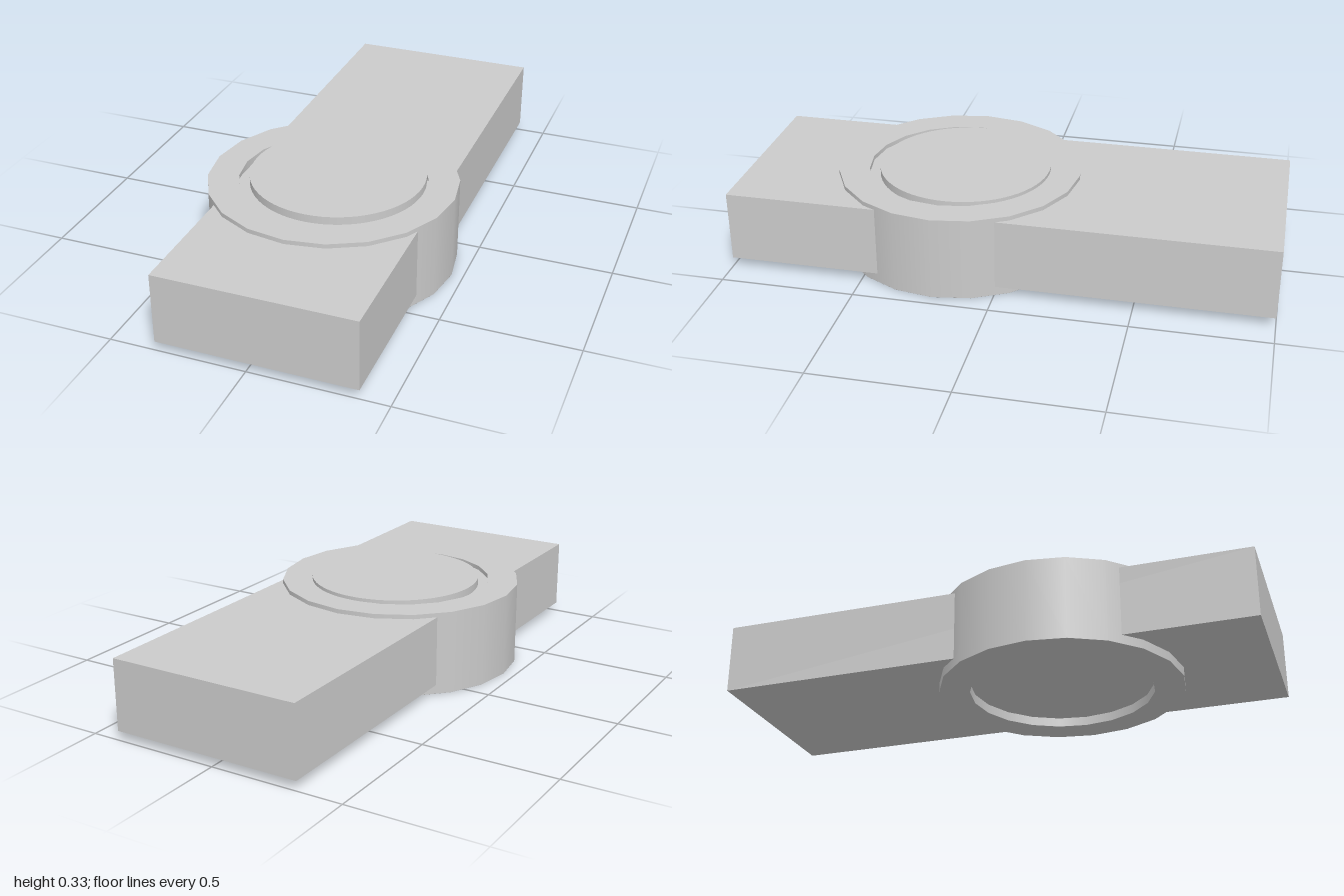
import * as THREE from 'three';

const material = new THREE.MeshStandardMaterial({ color: 0xcccccc });

function part(name, geometry, x, y, z) {
  const mesh = new THREE.Mesh(geometry, material);
  mesh.name = name;
  mesh.position.set(x, y, z);
  return mesh;
}

// Square-edged tube, smooth around its walls, centred on y = 0
function ringGeometry(inner, outer, height, sides) {
  const h = height / 2;
  const corners = [[inner, -h], [outer, -h], [outer, h], [inner, h], [inner, -h]];
  // each corner is doubled by a close neighbour so the rims stay sharp
  const points = [];
  for (let i = 0; i < 4; i++) {
    const a = new THREE.Vector2(...corners[i]);
    const b = new THREE.Vector2(...corners[i + 1]);
    points.push(a.clone().lerp(b, 0.002), a.clone().lerp(b, 0.998));
  }
  points.push(points[0].clone());
  return new THREE.LatheGeometry(points, sides);
}

export function createModel() {
  const model = new THREE.Group();
  model.name = 'bandWithRoundCase';

  // Long flat bar running front to back
  model.add(part('band', new THREE.BoxGeometry(0.725, 0.263, 2), 0.032, 0.166, 0));

  // Twenty-sided collar around the bar
  model.add(part('collar', ringGeometry(0.343, 0.457, 0.314, 20), 0, 0.157, 0.217));

  // Raised round plate, slightly off the collar's centre
  model.add(part('facePlate', new THREE.CylinderGeometry(0.321, 0.321, 0.277, 64), 0.01, 0.1885, 0.195));

  return model;
}
